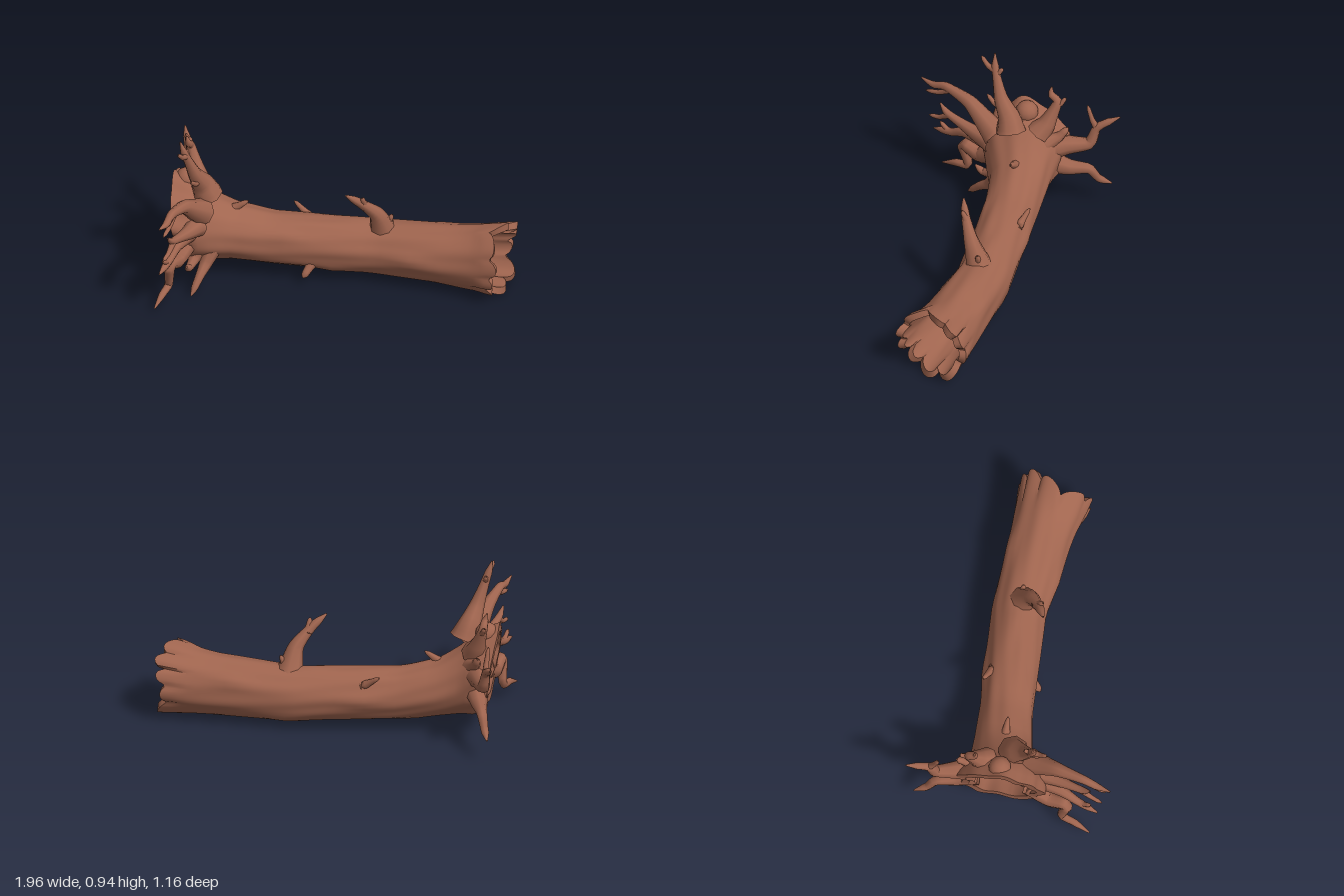
import * as THREE from 'three';
import { mergeVertices, toCreasedNormals } from 'three/addons/utils/BufferGeometryUtils.js';

const bark = new THREE.MeshStandardMaterial({ color: 0xa0654f, side: THREE.DoubleSide });
const { smoothstep } = THREE.MathUtils;

// Trunk stations: x, centre y, centre z, radius
const stations = [
  [-0.95, 0.38, -0.05, 0.24],
  [-0.83, 0.34, -0.05, 0.235],
  [-0.75, 0.30, -0.055, 0.20],
  [-0.62, 0.255, -0.09, 0.165],
  [-0.40, 0.212, -0.115, 0.15],
  [0.20, 0.185, -0.16, 0.155],
  [0.65, 0.198, -0.125, 0.175],
  [0.97, 0.22, -0.09, 0.207],
];

function sample(x) {
  let i = 0;
  while (i < stations.length - 2 && x > stations[i + 1][0]) i++;
  const a = stations[i], b = stations[i + 1];
  const t = (x - a[0]) / (b[0] - a[0]);
  return a.map((v, k) => v + (b[k] - v) * t);
}

// Uneven splinter lobes round the broken end (angle 0 = front, PI/2 = top)
const lobe = a => Math.sqrt(Math.abs(Math.sin(5 * a + 0.8 * Math.sin(2 * a + 1))));

// How far the broken rim is pulled back at each angle
const rimOffset = a => -0.06 * (1 - lobe(a)) - 0.04 * (1 + Math.cos(a)) + 0.025 * Math.sin(3 * a + 1);

// Radius factor: fine ridges, raised bark plates, root buttresses, splinters
function barkFactor(x, a) {
  let f = 1 + 0.012 * Math.sin(7 * a + 4 * x) + 0.01 * Math.sin(11 * a - 7 * x);
  for (let i = 0; i < 9; i++) {
    const turn = a - (2.4 * i - 1.7);
    const u = Math.abs(x + 0.5 - 0.15 * i) / 0.17;
    const d = Math.abs(Math.atan2(Math.sin(turn), Math.cos(turn))) / 0.36;
    if (u < 1 && d < 1) f += 0.1 * (1 - u) * (1 - d);
  }
  f += smoothstep(-x, 0.72, 0.95) * (0.05 * Math.sin(5 * a + 0.4) + 0.04 * Math.sin(9 * a + 1));
  return f + smoothstep(x, 0.76, 0.95) * 0.14 * (lobe(a) - 0.7);
}

// Hollow trunk: outer skin, broken rim, then the bore back to the root end
function makeTrunk() {
  const around = 84, along = 34, rings = [], pos = [], index = [];
  for (let i = 0; i <= along; i++) rings.push([-0.95 + 1.92 * i / along, 1]);
  for (let i = along; i >= 0; i -= 2) {
    const x = -0.95 + 1.92 * i / along;
    rings.push([x, 0.86 - 0.06 * smoothstep(Math.abs(x), 0.7, 0.95)]);
  }
  rings.forEach(([x, bore], i) => {
    const [, cy, cz, radius] = sample(x);
    const end = smoothstep(x, 0.7, 0.97), root = smoothstep(-x, 0.75, 0.95);
    const n = (i + 1) % rings.length;
    for (let j = 0; j < around; j++) {
      const angle = j / around * Math.PI * 2, r = radius * bore * barkFactor(x, angle);
      const shift = end * rimOffset(angle) + root * 0.03 * (1 - Math.sin(angle));
      pos.push(x + shift, cy + r * Math.sin(angle), cz + r * Math.cos(angle));
      const m = (j + 1) % around;
      const a = i * around + j, b = n * around + j, c = n * around + m, d = i * around + m;
      index.push(a, b, c, a, c, d);
    }
  });
  const geo = new THREE.BufferGeometry();
  geo.setAttribute('position', new THREE.Float32BufferAttribute(pos, 3));
  geo.setIndex(index);
  return toCreasedNormals(geo, 0.7);
}

// Tapered, slightly kinked limb along a path, flared at its base
function makeLimb(points, r0, r1) {
  const curve = new THREE.CatmullRomCurve3(points, false, 'catmullrom', 0.3);
  const seg = points.length * 4, sides = 8;
  let geo = new THREE.TubeGeometry(curve, seg, 1, sides);
  const p = geo.attributes.position, v = new THREE.Vector3();
  for (let i = 0; i <= seg; i++) {
    const t = i / seg, c = curve.getPointAt(t);
    const tip = t > 0.85 ? 1 - (t - 0.85) * 5 : 1;
    const r = (r1 + (r0 - r1) * Math.pow(1 - t, 2)) * tip;
    for (let j = 0; j <= sides; j++) {
      const k = i * (sides + 1) + j;
      v.fromBufferAttribute(p, k).sub(c).multiplyScalar(r).add(c);
      p.setXYZ(k, v.x, v.y, v.z);
    }
  }
  geo.deleteAttribute('uv');
  geo.deleteAttribute('normal');
  geo = mergeVertices(geo, 1e-5);
  geo.computeVertexNormals();
  return geo;
}

// Roots fan out from the heart and lean back the farther they reach
const heart = { z: -0.05, y: 0.36 };
function rootPoint(z, y, shift = 0) {
  const reach = Math.hypot(z - heart.z, y - heart.y);
  return new THREE.Vector3(-0.77 - 0.3 * reach + shift, y, z);
}

// Each root: base radius, forward shift, then z, y pairs
const roots = [
  [0.09, 0.07, 0.01, 0.6, 0.07, 0.7, 0.12, 0.86, 0.13, 0.945],
  [0.08, 0.05, 0.17, 0.53, 0.27, 0.605, 0.42, 0.645, 0.5, 0.625, 0.58, 0.64],
  [0.065, 0.03, 0.24, 0.41, 0.41, 0.46, 0.46, 0.51],
  [0.06, 0, 0.3, 0.36, 0.39, 0.32, 0.51, 0.295],
  [0.065, -0.02, 0.22, 0.22, 0.33, 0.25, 0.3, 0.1, 0.38, 0.08, 0.47, 0.04],
  [0.06, 0.11, 0.11, 0.14, 0.18, 0.09, 0.26, 0.01],
  [0.06, 0.04, 0.11, 0.17, 0.18, 0.145, 0.23, 0.18],
  [0.075, 0, -0.19, 0.56, -0.24, 0.69, -0.2, 0.73, -0.2, 0.775],
  [0.06, 0, -0.26, 0.48, -0.31, 0.54],
  [0.075, -0.03, -0.3, 0.41, -0.42, 0.425, -0.46, 0.53, -0.58, 0.6],
  [0.07, -0.02, -0.31, 0.26, -0.42, 0.25, -0.47, 0.18, -0.54, 0.145],
];

function rootPath([, shift, ...zy]) {
  const first = new THREE.Vector2(zy[0] - heart.z, zy[1] - heart.y).setLength(0.17);
  const path = [rootPoint(heart.z + first.x, heart.y + first.y, shift)];
  for (let i = 0; i < zy.length; i += 2) path.push(rootPoint(zy[i], zy[i + 1], shift));
  return path;
}

// Thin forks on the roots: shift, start z, y, end z, y
const forks = [
  [0.07, 0.12, 0.85, 0.21, 0.91],
  [0.07, 0.12, 0.84, 0.075, 0.87],
  [0.07, 0.06, 0.65, 0.155, 0.7],
  [0.05, 0.38, 0.64, 0.55, 0.57],
  [0.03, 0.4, 0.455, 0.53, 0.4],
  [0, 0.38, 0.32, 0.47, 0.36],
  [0, -0.23, 0.67, -0.285, 0.72],
  [-0.03, -0.46, 0.52, -0.4, 0.665],
];

function forkPath([shift, z0, y0, z1, y1]) {
  return [rootPoint(z0, y0, shift), rootPoint((z0 + z1) / 2, (y0 + y1) / 2 - 0.015, shift), rootPoint(z1, y1, shift)];
}

// Broken branch and twig stubs on the trunk: base radius, tip radius, path
const branches = [
  [0.085, 0.022, [[0.23, 0.29, -0.15], [0.2, 0.44, -0.09], [0.12, 0.54, -0.03], [0.04, 0.61, 0.01]]],
  [0.03, 0.014, [[0.14, 0.51, -0.05], [0.13, 0.59, -0.01]]],
  [0.035, 0.014, [[0.24, 0.32, -0.15], [0.28, 0.41, -0.15]]],
  [0.05, 0.015, [[-0.66, 0.37, -0.08], [-0.53, 0.46, -0.08]]],
  [0.03, 0.013, [[-0.2, 0.29, -0.23], [-0.3, 0.365, -0.27]]],
  [0.04, 0.022, [[-0.15, 0.13, -0.04], [-0.2, 0.055, 0.04]]],
];

export function createModel() {
  const model = new THREE.Group();
  model.name = 'hollowLog';
  const add = (name, geo) => {
    const mesh = new THREE.Mesh(geo, bark);
    mesh.name = name;
    model.add(mesh);
  };
  add('trunk', makeTrunk());
  add('rootKnob', new THREE.SphereGeometry(0.065, 12, 8).translate(-0.88, 0.585, -0.06));
  roots.forEach((root, i) => add(`root${i + 1}`, makeLimb(rootPath(root), root[0], 0.02)));
  forks.forEach((fork, i) => add(`rootFork${i + 1}`, makeLimb(forkPath(fork), 0.022, 0.012)));
  branches.forEach(([r0, r1, path], i) => {
    add(`branch${i + 1}`, makeLimb(path.map(p => new THREE.Vector3(...p)), r0, r1));
  });
  return model;
}
